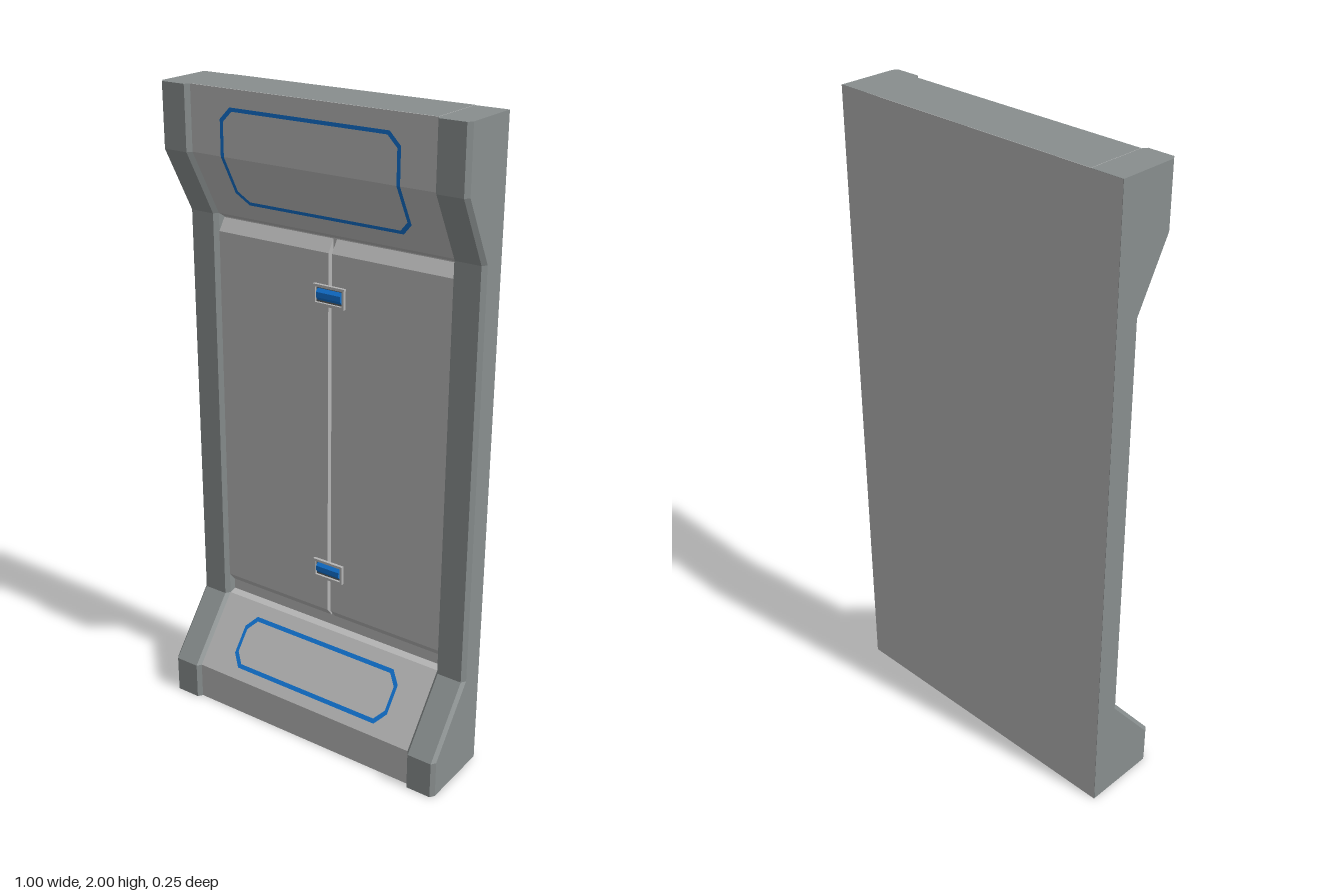
import * as THREE from 'three';

const mat = (name, color, side = THREE.FrontSide) => {
  const m = new THREE.MeshStandardMaterial({ color, side });
  m.name = name;
  return m;
};

// Front outline of the side rails as [y, z]
const FRONT = [[0, 0.125], [0.12, 0.125], [0.32, -0.035], [1.61, -0.035], [1.81, 0.073], [2, 0.073]];
const BACK = -0.125;
const BEVEL = 0.015;
const RECESS = -0.075;

// Depth of the middle panels at height y
function panelZ(y) {
  let i = 0;
  while (i < FRONT.length - 2 && y > FRONT[i + 1][0]) i++;
  const [[y0, z0], [y1, z1]] = [FRONT[i], FRONT[i + 1]];
  return z0 + (z1 - z0) * (y - y0) / (y1 - y0) - BEVEL;
}

function flatGeometry(positions) {
  const g = new THREE.BufferGeometry();
  g.setAttribute('position', new THREE.Float32BufferAttribute(positions, 3));
  g.computeVertexNormals();
  return g;
}

// Extrudes a [z, y] profile along x
function extrudeX(profile, x0, x1) {
  const shape = new THREE.Shape(profile.map(([z, y]) => new THREE.Vector2(z, y)));
  const g = new THREE.ExtrudeGeometry(shape, { depth: x1 - x0, bevelEnabled: false });
  g.rotateY(-Math.PI / 2);
  g.translate(x1, 0, 0);
  return g;
}

// Bevelled rail lofted through cross-sections at each height
function railGeometry() {
  const rings = FRONT.map(([y, z]) => [
    [0.05, y, BACK], [0.05, y, z - BEVEL], [0.04, y, z],
    [-0.04, y, z], [-0.05, y, z - BEVEL], [-0.05, y, BACK],
  ]);
  const p = [];
  const tri = (a, b, c) => p.push(...a, ...b, ...c);
  for (let r = 0; r < rings.length - 1; r++) {
    for (let i = 0; i < 6; i++) {
      const j = (i + 1) % 6;
      tri(rings[r][i], rings[r + 1][i], rings[r + 1][j]);
      tri(rings[r][i], rings[r + 1][j], rings[r][j]);
    }
  }
  const top = rings[rings.length - 1];
  for (let i = 1; i < 5; i++) {
    tri(rings[0][0], rings[0][i], rings[0][i + 1]);
    tri(top[0], top[i + 1], top[i]);
  }
  return flatGeometry(p);
}

// Thin outline with cut corners that follows the panel surface
function outlineGeometry(halfW, y0, y1, cut, line, foldY) {
  const loop = (d) => {
    const w = halfW - d, b = y0 + d, t = y1 - d, c = cut - d * 0.4;
    const right = [[w - c, b], [w, b + c], [w, foldY], [w, t - c], [w - c, t]];
    return [...right, ...right.map(([x, y]) => [-x, y]).reverse()]
      .map(([x, y]) => [x, y, panelZ(y) + 0.003]);
  };
  const outer = loop(0), inner = loop(line), p = [];
  outer.forEach((a, i) => {
    const j = (i + 1) % outer.length;
    p.push(...a, ...outer[j], ...inner[j], ...a, ...inner[j], ...inner[i]);
  });
  return flatGeometry(p);
}

export function createModel() {
  const group = new THREE.Group();
  const railGrey = mat('rail grey', 0x888e8e);
  const panelGrey = mat('panel grey', 0xb4b4b4);
  const darkGrey = mat('dark grey', 0x5a5c5c);
  const blue = mat('accent blue', 0x1070cc, THREE.DoubleSide);

  const add = (name, geometry, material, x = 0, y = 0, z = 0, parent = group) => {
    const m = new THREE.Mesh(geometry, material);
    m.name = name;
    m.position.set(x, y, z);
    parent.add(m);
    return m;
  };

  // Side rails
  const rail = railGeometry();
  add('leftRail', rail, railGrey, 0.45);
  add('rightRail', rail, railGrey, -0.45);

  // Middle body with sloped header and footer and a recess for the doors
  add('body', extrudeX([
    [BACK, 0], [panelZ(0), 0], [panelZ(0.12), 0.12], [panelZ(0.32), 0.32], [RECESS, 0.325],
    [RECESS, 1.595], [panelZ(1.61), 1.61], [panelZ(1.81), 1.81], [panelZ(2), 2], [BACK, 2],
  ], -0.4, 0.4), panelGrey);

  // Back skin and top skin
  const back = new THREE.PlaneGeometry(1, 2).rotateY(Math.PI);
  add('backPlate', back, panelGrey, 0, 1, BACK - 0.001);
  const topDepth = panelZ(2) - BACK;
  const top = new THREE.PlaneGeometry(0.8, topDepth).rotateX(-Math.PI / 2);
  add('topPlate', top, railGrey, 0, 2.0008, BACK + topDepth / 2);

  // Pair of doors with sloped top and bottom edges
  const doorFront = -0.05;
  const doorProfile = [[RECESS, 0.36], [doorFront, 0.39], [doorFront, 1.555], [RECESS, 1.592]];
  add('leftDoor', extrudeX(doorProfile, 0.006, 0.4), panelGrey);
  add('rightDoor', extrudeX(doorProfile, -0.4, -0.006), panelGrey);

  // Door latches: raised frame, dark pocket and bevelled blue bar
  const frameShape = new THREE.Shape();
  const rect = (path, w, h) => path.moveTo(-w, -h).lineTo(w, -h).lineTo(w, h).lineTo(-w, h).closePath();
  rect(frameShape, 0.054, 0.031);
  frameShape.holes.push(rect(new THREE.Path(), 0.046, 0.023));
  const frame = new THREE.ExtrudeGeometry(frameShape, { depth: 0.01, bevelEnabled: false });
  const pocket = new THREE.BoxGeometry(0.094, 0.048, 0.004);
  const bar = extrudeX([[0, -0.018], [0.009, -0.008], [0.009, 0.008], [0, 0.018]], -0.042, 0.042);
  for (const [name, y] of [['upperLatch', 1.43], ['lowerLatch', 0.535]]) {
    const latch = new THREE.Group();
    latch.name = name;
    latch.position.set(0, y, doorFront);
    group.add(latch);
    add('latchFrame', frame, panelGrey, 0, 0, 0, latch);
    add('latchPocket', pocket, darkGrey, 0, 0, 0, latch);
    add('latchBar', bar, blue, 0, 0, 0.002, latch);
  }

  // Blue outlines on the header and footer
  add('headerOutline', outlineGeometry(0.295, 1.66, 1.95, 0.035, 0.011, 1.81), blue);
  add('footerOutline', outlineGeometry(0.295, 0.15, 0.287, 0.032, 0.011, 0.22), blue);

  return group;
}
